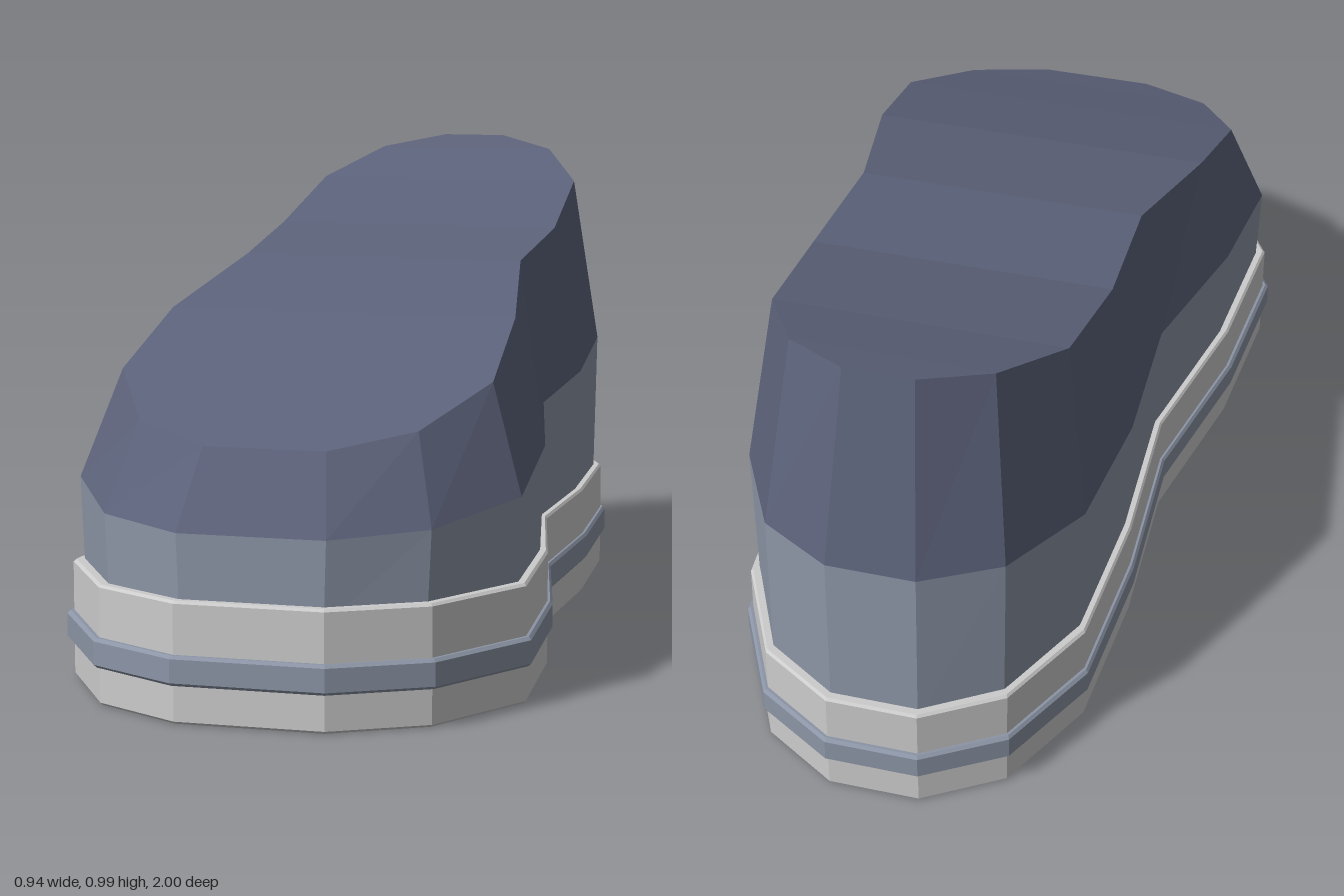
import * as THREE from 'three';

// Half outlines (x >= 0) from toe to heel: [x, z] or [x, y, z]
const OUTLINE = [[0.15, 1], [0.335, 0.9], [0.47, 0.68], [0.447, 0.36], [0.37, 0],
  [0.382, -0.35], [0.362, -0.68], [0.255, -0.9], [0.095, -1]];
const SEAM = [[0.145, 0.36, 0.97], [0.32, 0.37, 0.87], [0.445, 0.40, 0.66], [0.426, 0.447, 0.345],
  [0.352, 0.48, 0], [0.366, 0.50, -0.34], [0.344, 0.535, -0.66], [0.24, 0.56, -0.87], [0.09, 0.57, -0.965]];
const RIM = [[0.12, 0.51, 0.88], [0.275, 0.54, 0.79], [0.375, 0.61, 0.6], [0.36, 0.70, 0.33],
  [0.30, 0.78, 0], [0.31, 0.82, -0.31], [0.295, 0.90, -0.61], [0.20, 0.96, -0.79], [0.07, 0.985, -0.875]];

// Mirrors a half outline into a closed ring
const ring = half => [...half, ...half.map(([x, y, z]) => [-x, y, z]).reverse()];
// Flat ring at height y, drawn in from the outline by d
const level = (y, d) => ring(OUTLINE.map(([x, z]) => [x * (1 - d / 0.47), y, z * (1 - d)]));

// Skins rings from bottom to top; caps are strips running from side to side
function loft(name, rings, color, capBottom = true, capTop = true) {
  const pos = [];
  const quad = (a, b, c, d) => pos.push(...a, ...b, ...c, ...a, ...c, ...d);
  const n = rings[0].length;
  for (let k = 0; k < rings.length - 1; k++) {
    for (let i = 0; i < n; i++) {
      const j = (i + 1) % n;
      quad(rings[k][i], rings[k][j], rings[k + 1][j], rings[k + 1][i]);
    }
  }
  const lo = rings[0], hi = rings[rings.length - 1];
  for (let i = 0; i < n / 2 - 1; i++) {
    if (capTop) quad(hi[i], hi[i + 1], hi[n - 2 - i], hi[n - 1 - i]);
    if (capBottom) quad(lo[n - 1 - i], lo[n - 2 - i], lo[i + 1], lo[i]);
  }
  const geo = new THREE.BufferGeometry();
  geo.setAttribute('position', new THREE.Float32BufferAttribute(pos, 3));
  geo.computeVertexNormals();
  const mesh = new THREE.Mesh(geo, new THREE.MeshStandardMaterial({ color, flatShading: true }));
  mesh.name = name;
  return mesh;
}

export function createModel() {
  const shoe = new THREE.Group();
  shoe.name = 'shoe';

  // Slab with small bevels along its top and bottom edges
  const slab = (y0, y1, d, b) =>
    [level(y0, d + b), level(y0 + b, d), level(y1 - b, d), level(y1, d + b)];

  const seam = ring(SEAM);
  shoe.add(
    loft('sole', slab(0, 0.235, 0.012, 0.005), 0xcccccc),
    loft('soleBand', slab(0.075, 0.133, 0, 0.006), 0x8c95a6),
    // Lower wall of the shoe, standing on the sole
    loft('lowerUpper', [level(0.2, 0.032), seam], 0x8c95a6, true, false),
    // Sloping upper closed by a flat-faceted top
    loft('upper', [seam, ring(RIM)], 0x5c627a, false, true),
  );
  return shoe;
}
